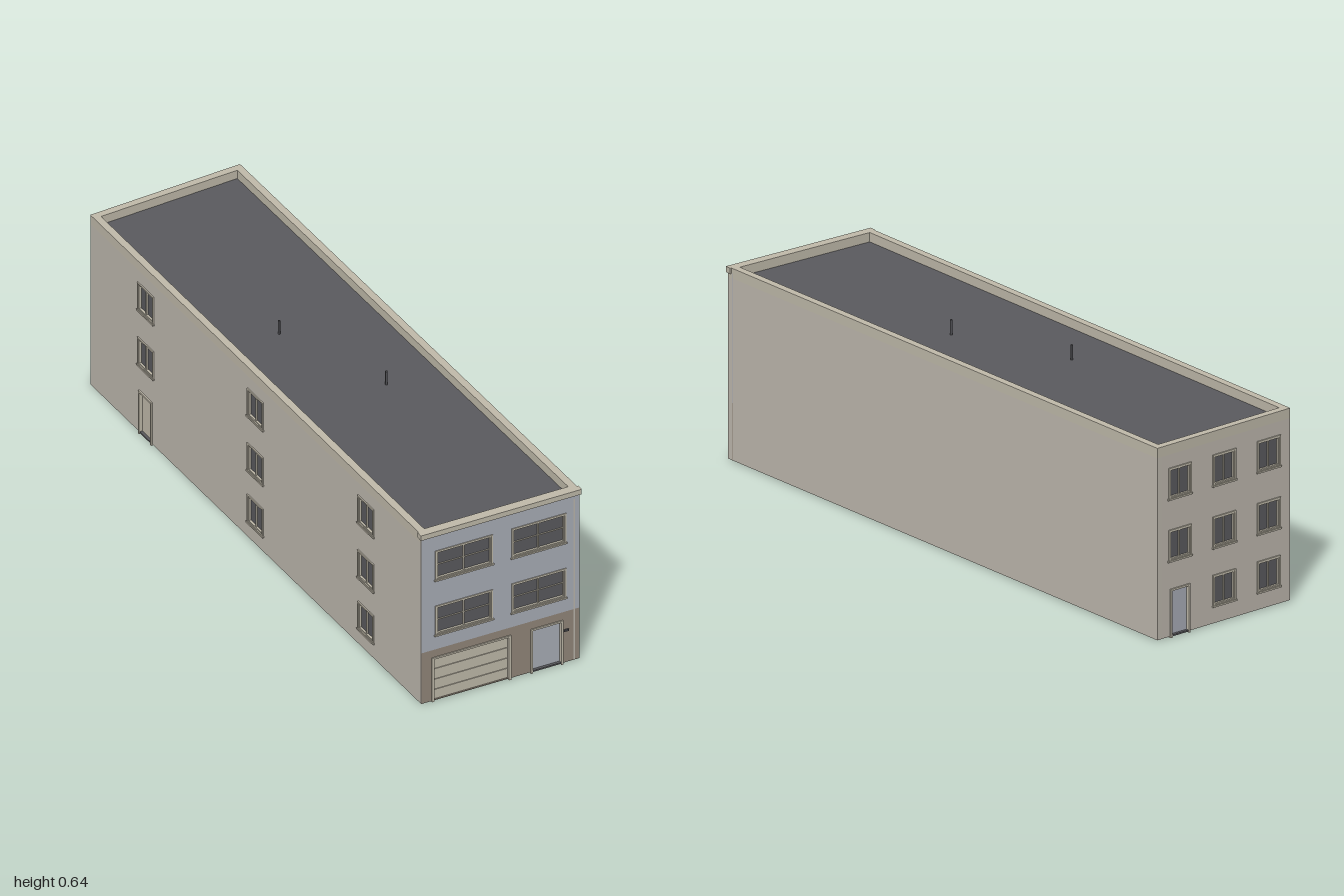
import * as THREE from 'three';

const mat = (name, color) => {
  const m = new THREE.MeshStandardMaterial({ color });
  m.name = name;
  return m;
};
const M = {
  wall: mat('wall render', 0xc0bab0),
  trim: mat('cream trim', 0xc2bcac),
  blue: mat('blue grey paint', 0xabafb9),
  brown: mat('brown base', 0x93887b),
  dark: mat('roof and glass', 0x5b5b5f),
  metal: mat('dark metal', 0x4e4e52),
};

// Footprint corners as [x, z]; the plan is a slightly skewed rectangle
const FL = [-0.215, 0.993], FR = [0.319, 0.993], BR = [0.198, -0.998], BL = [-0.324, -0.964];
const BASE = 0.004, EAVE = 0.588, TOP = 0.62, SPLIT = 0.188, THICK = 0.02;

function add(parent, name, geometry, material) {
  const m = new THREE.Mesh(geometry, material);
  m.name = name;
  parent.add(m);
  return m;
}

function box(parent, name, material, x0, x1, y0, y1, z0, z1) {
  const m = add(parent, name, new THREE.BoxGeometry(x1 - x0, y1 - y0, z1 - z0), material);
  m.position.set((x0 + x1) / 2, (y0 + y1) / 2, (z0 + z1) / 2);
  return m;
}

const poly = (pts) => pts.map((p) => new THREE.Vector2(p[0], p[1]));
const rect = (x0, x1, y0, y1) => poly([[x0, y0], [x1, y0], [x1, y1], [x0, y1]]);

// Upright plate with rectangular openings, between two depths
function plate(parent, name, material, outline, openings, z0, z1) {
  const s = new THREE.Shape(rect(...outline));
  openings.forEach((o) => s.holes.push(new THREE.Path(rect(...o).reverse())));
  const g = new THREE.ExtrudeGeometry(s, { depth: z1 - z0, bevelEnabled: false });
  g.translate(0, 0, z0);
  return add(parent, name, g, material);
}

// Group whose x runs along a wall (left to right from outside) and z points outward
function wallFrame(parent, name, a, b) {
  const g = new THREE.Group();
  g.name = name;
  const dx = b[0] - a[0], dz = b[1] - a[1];
  g.position.set(a[0], 0, a[1]);
  g.rotation.y = Math.atan2(-dz, dx);
  g.userData.length = Math.hypot(dx, dz);
  parent.add(g);
  return g;
}

// Casing, sash, pane, glazing bars and sill; the box [x0,x1,y0,y1] is the casing
function windowUnit(parent, [x0, x1, y0, y1], crossBar) {
  const g = new THREE.Group();
  g.name = 'window';
  parent.add(g);
  const a = 0.005, b = 0.009, cx = (x0 + x1) / 2, cy = (y0 + y1) / 2;
  plate(g, 'casing', M.trim, [x0, x1, y0, y1], [[x0 + a, x1 - a, y0 + a, y1 - a]], -0.015, 0.004);
  plate(g, 'sash', M.trim, [x0 + a, x1 - a, y0 + a, y1 - a], [[x0 + b, x1 - b, y0 + b, y1 - b]], -0.015, 0.001);
  box(g, 'glass', M.dark, x0 + a, x1 - a, y0 + a, y1 - a, -0.014, -0.006);
  box(g, 'mullion', M.trim, cx - 0.002, cx + 0.002, y0 + b, y1 - b, -0.01, 0);
  if (crossBar) box(g, 'crossBar', M.trim, x0 + b, x1 - b, cy - 0.001, cy + 0.001, -0.01, -0.002);
  box(g, 'sill', M.trim, x0 - 0.003, x1 + 0.003, y0 - 0.002, y0 + 0.003, -0.005, 0.006);
}

// Door jambs and head, leaf, threshold
function doorUnit(parent, [x0, x1, , y1], leaf) {
  const g = new THREE.Group();
  g.name = 'door';
  parent.add(g);
  const a = 0.006;
  box(g, 'jamb', M.trim, x0, x0 + a, 0, y1, -0.026, 0.005);
  box(g, 'jamb', M.trim, x1 - a, x1, 0, y1, -0.026, 0.005);
  box(g, 'head', M.trim, x0 + a, x1 - a, y1 - a, y1, -0.026, 0.005);
  box(g, 'leaf', leaf, x0 + a, x1 - a, 0.008, y1 - a, -0.016, -0.007);
  box(g, 'threshold', M.dark, x0 + a, x1 - a, 0.003, 0.008, -0.025, 0.002);
}

// Opening cut through the wall, a little inside the casing
const cut = ([x0, x1, y0, y1]) => [x0 + 0.003, x1 - 0.003, Math.max(y0 + 0.003, BASE + 0.002), y1 - 0.003];

function lining(w, cuts) {
  plate(w, 'innerLining', M.blue, [0.01, w.userData.length - 0.01, BASE + 0.001, EAVE - 0.004], cuts, -THICK - 0.004, -THICK);
}

// Plain wall with optional columns of windows and a door under the first column
function sideWall(parent, name, a, b, columns, width, doorLeaf) {
  const w = wallFrame(parent, name, a, b);
  const openings = [];
  columns.forEach((c, i) => [0.058, 0.245, 0.444].forEach((y, floor) => {
    const isDoor = i === 0 && floor === 0;
    const half = isDoor ? 0.039 : width / 2;
    const o = isDoor ? [c - half, c + half, 0, 0.156] : [c - half, c + half, y, y + 0.101];
    openings.push(o);
    if (isDoor) doorUnit(w, o, doorLeaf);
    else windowUnit(w, o, false);
  }));
  const cuts = openings.map(cut);
  plate(w, 'wallPanel', M.wall, [0, w.userData.length, BASE, EAVE], cuts, -THICK, 0);
  lining(w, cuts);
}

function facade(parent) {
  const w = wallFrame(parent, 'frontWall', FL, FR);
  const L = w.userData.length, X = -FL[0];
  const windows = [];
  [0.238, 0.438].forEach((y) => [[-0.168, 0.026], [0.089, 0.273]].forEach(([l, r]) => windows.push([l + X, r + X, y, y + 0.108])));
  windows.forEach((o) => windowUnit(w, o, true));
  const garage = [-0.181 + X, 0.087 + X, 0, 0.161];
  const door = [0.153 + X, 0.262 + X, 0, 0.16];
  plate(w, 'basePanel', M.brown, [0.001, L - 0.001, BASE, SPLIT], [garage, door].map(cut), -THICK, 0.001);
  plate(w, 'upperPanel', M.blue, [0.001, L - 0.001, SPLIT, 0.603], windows.map(cut), -THICK, 0.001);
  lining(w, [...windows, garage, door].map(cut));

  doorUnit(w, door, M.blue);
  box(w, 'doorHandle', M.metal, 0.264 + X, 0.281 + X, 0.118, 0.124, 0, 0.006);

  // Sectional garage door: four slats over a dark backing
  const [x0, x1, , y1] = garage, a = 0.008;
  const g = new THREE.Group();
  g.name = 'garageDoor';
  w.add(g);
  box(g, 'jamb', M.trim, x0, x0 + a, 0.002, y1, -0.024, 0.005);
  box(g, 'jamb', M.trim, x1 - a, x1, 0, y1, -0.024, 0.005);
  box(g, 'head', M.trim, x0 + a, x1 - a, y1 - a + 0.002, y1, -0.024, 0.005);
  box(g, 'backing', M.metal, x0 + a, x1 - a, BASE, y1 - 0.006, -0.018, -0.009);
  const levels = [BASE, 0.04, 0.077, 0.115, 0.155];
  for (let i = 0; i < 4; i++) box(g, 'slat', M.trim, x0 + a, x1 - a, levels[i] + 0.001, levels[i + 1] - 0.001, -0.01, -0.004);

  // Fascia along the roof edge
  box(w, 'fascia', M.trim, -0.004, L + 0.004, 0.602, TOP, -0.015, 0.007);
}

// Footprint moved inward by d, drawn so it can be laid flat
function footprint(d) {
  const u = d / 0.53, v = d / 1.98;
  const at = (s, t) => [0, 1].map((k) => (1 - t) * ((1 - s) * FL[k] + s * FR[k]) + t * ((1 - s) * BL[k] + s * BR[k]));
  return poly([at(u, v), at(1 - u, v), at(1 - u, 1 - v), at(u, 1 - v)].map(([x, z]) => [x, -z]));
}

function flat(parent, name, material, shape, y0, y1) {
  const g = new THREE.ExtrudeGeometry(shape, { depth: y1 - y0, bevelEnabled: false });
  g.rotateX(-Math.PI / 2);
  g.translate(0, y0, 0);
  return add(parent, name, g, material);
}

export function createModel() {
  const model = new THREE.Group();
  model.name = 'building';

  facade(model);
  sideWall(model, 'leftWall', FR, BR, [], 0);
  sideWall(model, 'rightWall', BL, FL, [0.33, 0.98, 1.635], 0.094, M.trim);
  sideWall(model, 'backWall', BR, BL, [0.088, 0.263, 0.438], 0.09, M.blue);

  // Flat roof inside a raised parapet
  flat(model, 'roof', M.dark, new THREE.Shape(footprint(0.01)), 0.582, 0.59);
  const ring = new THREE.Shape(footprint(0));
  ring.holes.push(new THREE.Path(footprint(0.024).reverse()));
  flat(model, 'parapet', M.trim, ring, EAVE, TOP);

  // Vent pipes
  [[-0.088, -0.185], [0.076, 0.2]].forEach(([x, z]) => {
    const p = add(model, 'ventPipe', new THREE.CylinderGeometry(0.0038, 0.0038, 0.05, 12), M.metal);
    p.position.set(x, 0.613, z);
  });
  return model;
}
